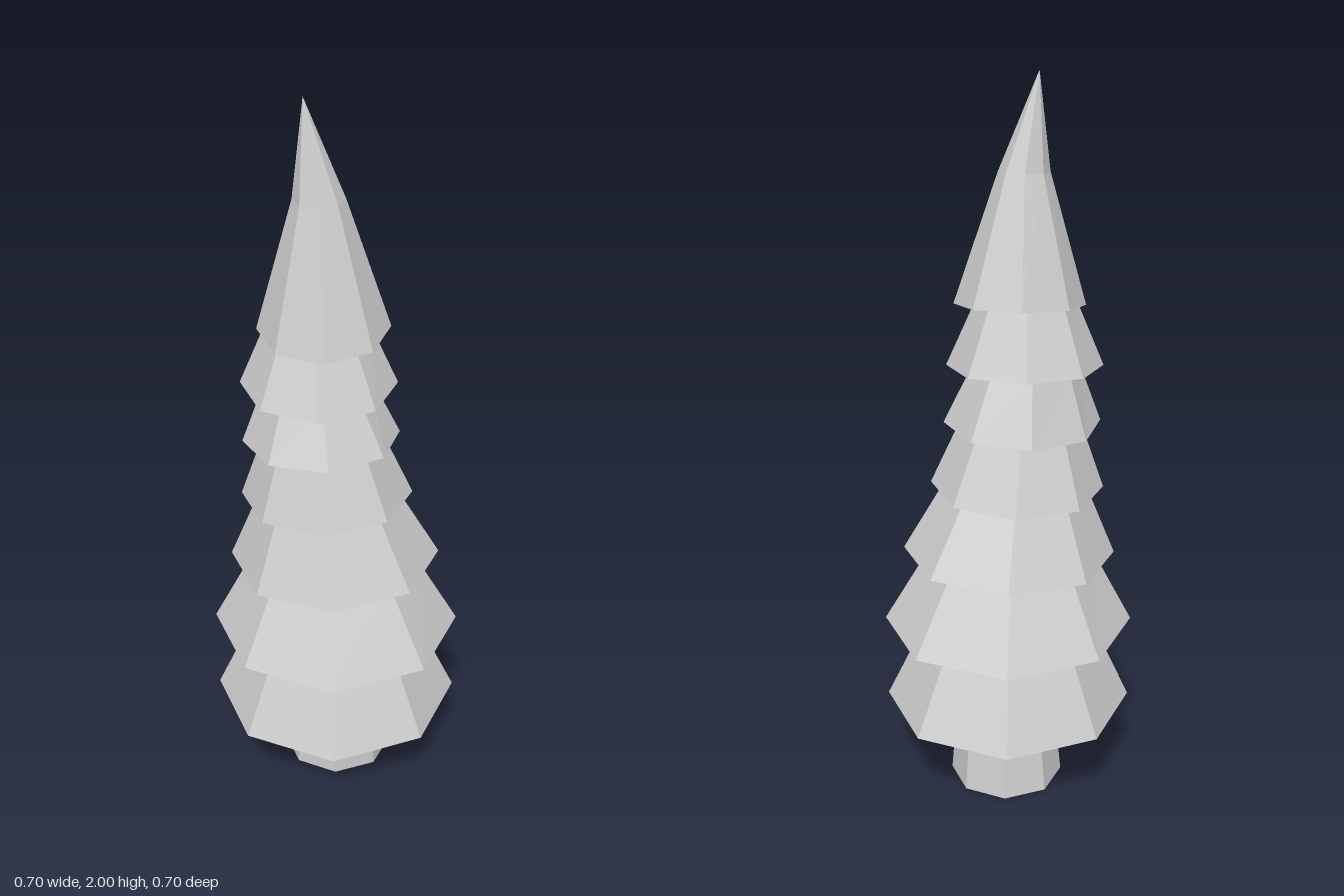
import * as THREE from 'three';

const material = new THREE.MeshStandardMaterial({ color: 0xcccccc, flatShading: true });

// A ring is an octagon: centre x/y/z, radius r, slopes along x and z, twist about y.
const ring = (x, y, z, r, slopeX = 0, slopeZ = 0, twist = 0) => ({ x, y, z, r, slopeX, slopeZ, twist });

// Eight-sided capped section between two rings
function section(name, bottom, top) {
  const cylinder = new THREE.CylinderGeometry(1, 1, 1, 8, 1);
  const p = cylinder.attributes.position;
  const v = new THREE.Vector3();
  const up = new THREE.Vector3(0, 1, 0);
  for (let i = 0; i < p.count; i++) {
    v.fromBufferAttribute(p, i);
    const c = v.y > 0 ? top : bottom;
    v.y = 0;
    v.applyAxisAngle(up, c.twist).multiplyScalar(c.r);
    p.setXYZ(i, c.x + v.x, c.y + v.x * c.slopeX + v.z * c.slopeZ, c.z + v.z);
  }
  const geometry = cylinder.toNonIndexed();
  geometry.computeVertexNormals();
  const mesh = new THREE.Mesh(geometry, material);
  mesh.name = name;
  return mesh;
}

export function createModel() {
  const tree = new THREE.Group();
  tree.name = 'pineTree';

  // Tapered trunk
  tree.add(section('trunk', ring(0.002, 0, -0.024, 0.16), ring(0.005, 0.24, -0.008, 0.138)));

  // Wide lower rim of each branch tier, slightly tilted and twisted
  const rims = [
    ring(-0.002, 0.238, 0.002, 0.348, 0, 0, 0.02),
    ring(-0.002, 0.484, 0.002, 0.349, 0, 0, 0.02),
    ring(-0.005, 0.703, -0.006, 0.293, 0.022, 0, 0.02),
    ring(-0.027, 0.901, -0.006, 0.236, 0.025, 0.03, 0.01),
    ring(-0.041, 1.082, 0.002, 0.213, 0.025, 0.035, 0.13),
    ring(-0.047, 1.242, -0.003, 0.209, 0, -0.06, 0.03),
    ring(-0.033, 1.405, 0.007, 0.174, 0.01, -0.13, 0.05),
  ];
  // Narrow top of each tier below the crown, tucked under the next rim: [x, z, radius]
  const necks = [
    [-0.005, 0.002, 0.232],
    [-0.012, 0.002, 0.226],
    [-0.022, 0, 0.194],
    [-0.037, -0.002, 0.163],
    [-0.05, 0.001, 0.144],
    [-0.05, 0.001, 0.138],
  ];
  necks.forEach(([x, z, r], i) => {
    const next = rims[i + 1];
    const top = ring(x, next.y, z, r, next.slopeX, next.slopeZ, rims[i].twist);
    tree.add(section(`branchTier${i + 1}`, rims[i], top));
  });

  // Crown: a long section and a leaning pointed tip
  const collar = ring(-0.043, 1.75, 0.012, 0.067, 0, -0.06, 0.04);
  tree.add(section('crown', rims[6], collar));
  tree.add(section('tip', collar, ring(-0.08, 2, 0.01, 0)));

  return tree;
}
